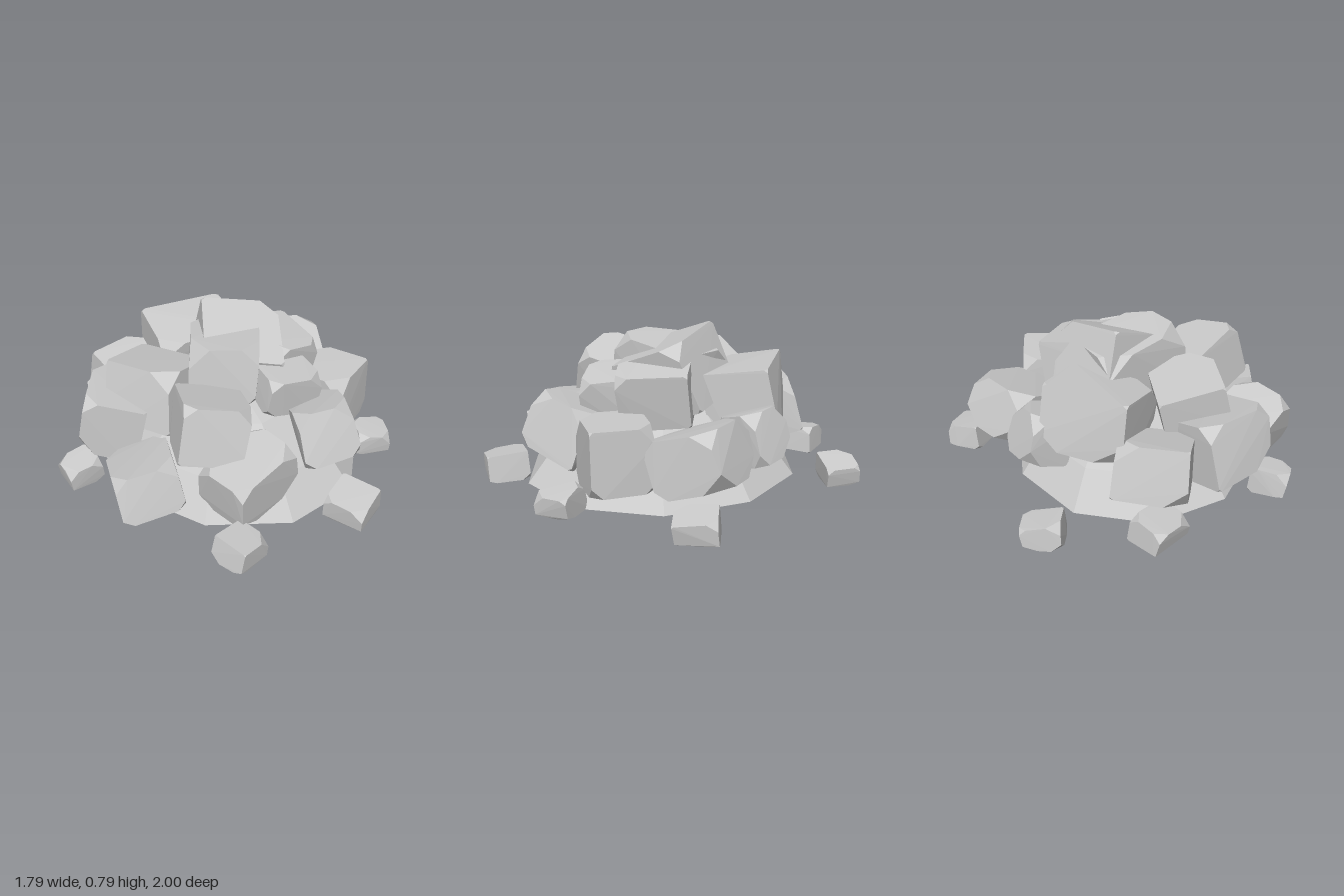
import * as THREE from 'three';
import { ConvexGeometry } from 'three/addons/geometries/ConvexGeometry.js';

const material = new THREE.MeshStandardMaterial({ color: 0xcccccc, flatShading: true });

// small seeded generator
function seeded(seed) {
  let s = seed * 7919 + 17;
  return () => (s = (s * 16807) % 2147483647) / 2147483647;
}

// faceted boulder: a jittered box with most corners cut off, flattened at the ground
function boulder(name, seed, pos, size, deg) {
  const rand = seeded(seed);
  for (let i = 0; i < 5; i++) rand();
  const turn = new THREE.Euler(...deg.map(THREE.MathUtils.degToRad), 'YXZ');
  const points = [];
  const add = (x, y, z) => {
    const p = new THREE.Vector3(x * size[0], y * size[1], z * size[2]).applyEuler(turn);
    p.add(new THREE.Vector3(...pos));
    p.y = Math.max(p.y, 0);
    points.push(p);
  };
  for (const x of [-0.5, 0.5]) for (const y of [-0.5, 0.5]) for (const z of [-0.5, 0.5]) {
    const k = () => 0.94 + rand() * 0.09;
    const c = [x * k(), y * k(), z * k()];
    const cut = rand() < 0.7 ? 0.3 + rand() * 0.4 : 0.9;
    add(c[0] * cut, c[1], c[2]);
    add(c[0], c[1] * cut, c[2]);
    add(c[0], c[1], c[2] * cut);
  }
  const mesh = new THREE.Mesh(new ConvexGeometry(points), material);
  mesh.name = name;
  return mesh;
}

export function createModel() {
  const group = new THREE.Group();
  group.name = 'rockPile';

  // earth mound under the boulders, longer along one diagonal
  const profile = [[0, 0], [0.66, 0], [0.53, 0.18], [0.34, 0.38], [0, 0.48]];
  const mound = new THREE.Mesh(
    new THREE.LatheGeometry(profile.map(([r, y]) => new THREE.Vector2(r, y)), 10)
      .scale(0.98, 1, 1.1).rotateY(Math.PI / 4).translate(0.035, 0, 0.035), material);
  mound.name = 'mound';
  group.add(mound);

  // boulders: name, centre, size, rotation in degrees; most tilt up and outward
  const boulders = [
    ['summitFront', [0.02, 0.52, 0.0], [0.35, 0.35, 0.48], [-6, -17, 0]],
    ['summitBack', [0.1, 0.53, -0.07], [0.4, 0.36, 0.4], [22, -10, -9]],
    ['upperBack', [-0.07, 0.42, -0.39], [0.46, 0.34, 0.35], [10, 11, 2]],
    ['upperRight', [0.31, 0.49, -0.06], [0.28, 0.28, 0.36], [6, 15, -8]],
    ['upperFrontRight', [0.27, 0.45, 0.2], [0.3, 0.24, 0.27], [4, 12, -8]],
    ['upperFrontLeft', [-0.16, 0.42, 0.39], [0.33, 0.29, 0.34], [-12, -3, -12]],
    ['upperLeft', [-0.35, 0.41, 0.0], [0.4, 0.32, 0.33], [-13, -45, 4]],
    ['lowerBackRight', [0.5, 0.26, -0.37], [0.36, 0.28, 0.37], [19, -5, 4]],
    ['lowerRight', [0.6, 0.26, 0.02], [0.31, 0.33, 0.32], [0, 42, 2]],
    ['lowerFrontRight', [0.43, 0.29, 0.37], [0.29, 0.28, 0.33], [-17, -5, 12]],
    ['lowerFront', [-0.01, 0.22, 0.57], [0.39, 0.25, 0.3], [4, 31, 12]],
    ['lowerFrontLeft', [-0.48, 0.14, 0.38], [0.32, 0.25, 0.37], [-13, -3, 13]],
    ['lowerLeft', [-0.56, 0.28, -0.04], [0.32, 0.32, 0.38], [0, -14, -14]],
    ['lowerBackLeft', [-0.41, 0.26, -0.39], [0.36, 0.29, 0.3], [14, 28, 3]],
    ['backKnob', [0.18, 0.29, -0.53], [0.24, 0.26, 0.24], [18, -22, 0]],
  ];
  boulders.forEach(([name, p, s, r], i) => group.add(boulder(name, i + 3, p, s, r)));

  // loose stones on the ground around the pile: x, z, width, depth, height, yaw
  const stones = [
    [-0.125, -0.88, 0.19, 0.17, 0.12, 33],
    [-0.55, -0.545, 0.19, 0.23, 0.12, -6],
    [0.77, -0.465, 0.18, 0.2, 0.12, 17],
    [-0.775, 0.115, 0.19, 0.16, 0.13, 18],
    [0.775, 0.225, 0.18, 0.18, 0.12, -2],
    [0.48, 0.72, 0.21, 0.21, 0.13, 42],
    [-0.13, 0.87, 0.19, 0.19, 0.12, 34],
  ];
  stones.forEach(([x, z, w, d, h, yaw], i) => group.add(
    boulder('looseStone' + (i + 1), i + 40, [x, h * 0.4, z], [w, h * 1.15, d], [4, yaw, i % 2 ? 8 : -8])));

  return group;
}
